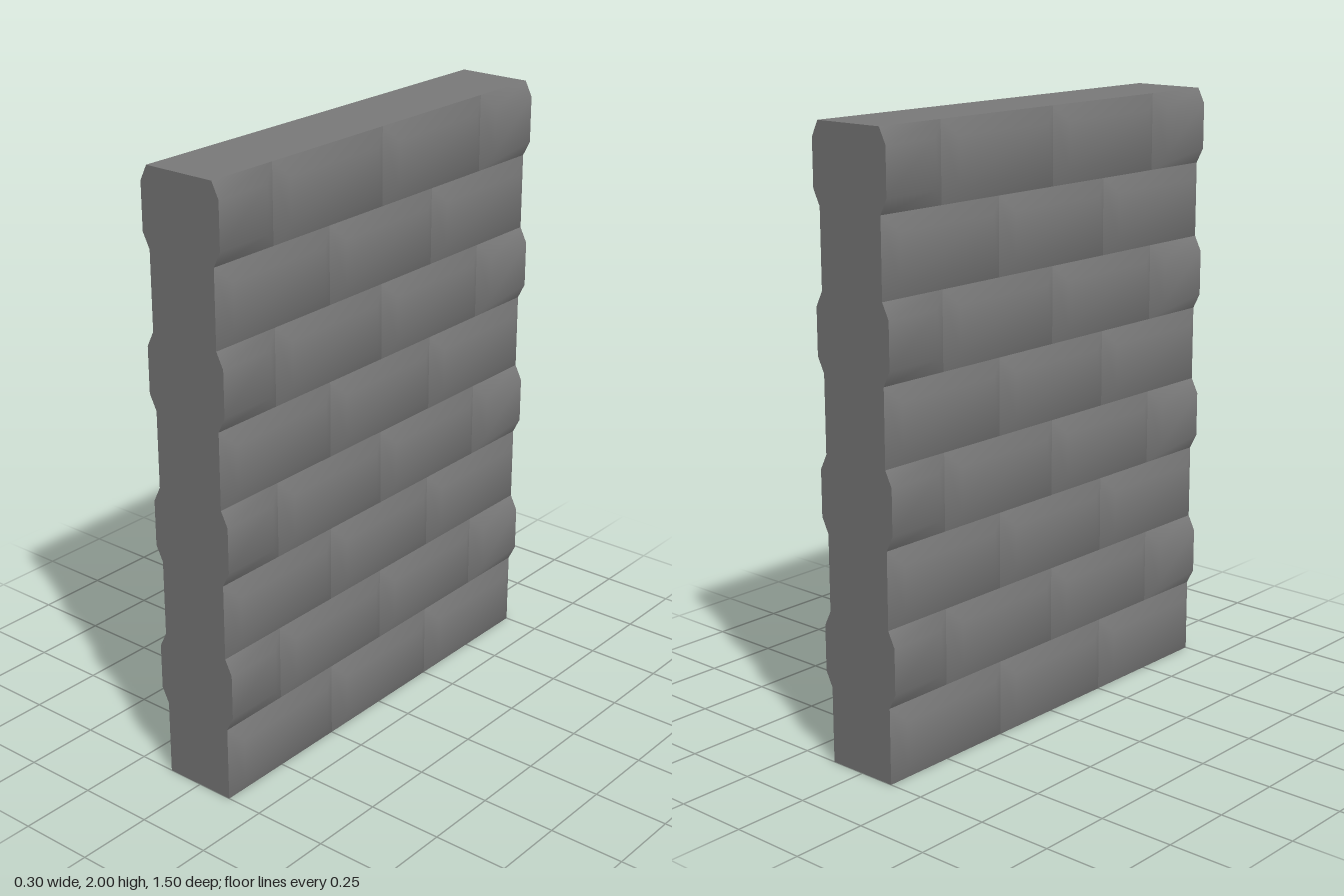
import * as THREE from 'three';
import { mergeGeometries } from 'three/addons/utils/BufferGeometryUtils.js';

const CORE = 0.125, FACE = 0.15, BEVEL = 0.05;
const ROWS = 8, ROW_H = 0.25, HALF = 0.75;

// Smooth surface of flat quads, each weighing on a corner's normal by its angle there
function surface(points, quads) {
  const corners = points.map((p) => new THREE.Vector3(...p));
  const normals = points.map(() => new THREE.Vector3());
  for (const quad of quads) {
    quad.forEach((k, i) => {
      const next = corners[quad[(i + 1) % 4]].clone().sub(corners[k]);
      const prev = corners[quad[(i + 3) % 4]].clone().sub(corners[k]);
      const angle = next.angleTo(prev);
      normals[k].addScaledVector(next.cross(prev).normalize(), angle);
    });
  }
  const g = new THREE.BufferGeometry().setFromPoints(corners);
  const flat = normals.flatMap((n) => n.normalize().toArray());
  g.setAttribute('normal', new THREE.Float32BufferAttribute(flat, 3));
  g.setIndex(quads.flatMap(([a, b, c, d]) => [a, b, c, a, c, d]));
  return g;
}

// Bevelled brick facing +x; an end on the wall's edge may be cut flush
function brick(y0, z0, z1, cutStart, cutEnd) {
  const ring = (x, inset) => {
    const a = z0 + (cutStart ? 0 : inset), b = z1 - (cutEnd ? 0 : inset);
    const lo = y0 + inset, hi = y0 + ROW_H - inset;
    return [[x, lo, b], [x, lo, a], [x, hi, a], [x, hi, b]];
  };
  const points = [...ring(CORE, 0), ...ring(FACE, BEVEL)];
  const quads = [[4, 5, 6, 7]], parts = [];
  for (let i = 0; i < 4; i++) {
    const j = (i + 1) % 4;
    const quad = [i, j, j + 4, i + 4];
    const flush = (i === 1 && cutStart) || (i === 3 && cutEnd);
    // Flush caps get their own vertices so that their edge stays sharp
    if (flush) parts.push(surface(quad.map((k) => points[k]), [[0, 1, 2, 3]]));
    else quads.push(quad);
  }
  parts.push(surface(points, quads));
  return mergeGeometries(parts);
}

export function createModel() {
  const wall = new THREE.Group();
  wall.name = 'brickWall';
  const material = new THREE.MeshStandardMaterial({ color: 0x7a7a7a });

  // Solid core
  const core = new THREE.Mesh(new THREE.BoxGeometry(CORE * 2, ROWS * ROW_H, HALF * 2), material);
  core.name = 'wallCore';
  core.position.y = ROWS * ROW_H / 2;
  wall.add(core);

  // Running bond: three whole bricks, then two whole ones between halves
  for (const side of ['left', 'right']) {
    const face = new THREE.Group();
    face.name = side + 'Face';
    for (let row = 0; row < ROWS; row++) {
      const odd = row % 2 === 1;
      const joints = odd ? [-HALF, -0.5, 0, 0.5, HALF] : [-HALF, -0.25, 0.25, HALF];
      const last = joints.length - 2;
      const bricks = joints.slice(0, -1).map((z, i) =>
        brick(row * ROW_H, z, joints[i + 1], odd && i === 0, odd && i === last));
      const course = new THREE.Mesh(mergeGeometries(bricks), material);
      course.name = 'brickCourse' + (row + 1);
      face.add(course);
    }
    if (side === 'right') face.rotation.y = Math.PI;
    wall.add(face);
  }
  return wall;
}
